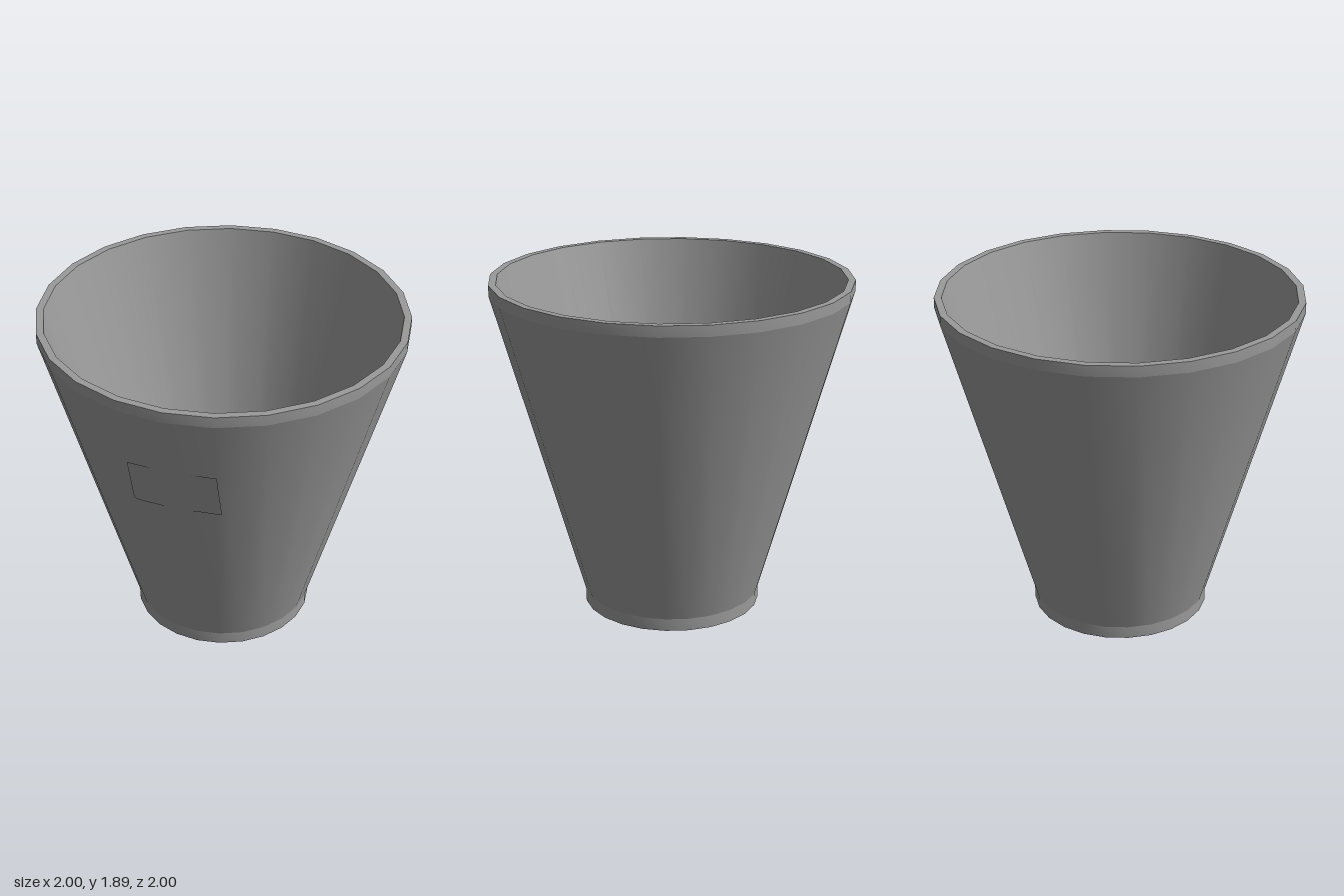
import * as THREE from 'three';
import { toCreasedNormals } from 'three/addons/utils/BufferGeometryUtils.js';

const SIDES = 24, HEIGHT = 1.89, BAND_LOW = 0.07, BAND_HIGH = 1.83;
const R_LOW = 0.5, R_HIGH = 1, WALL = 0.04;

// Outer radius of the tapered wall at height y
const radiusAt = y => THREE.MathUtils.mapLinear(y, BAND_LOW, BAND_HIGH, R_LOW, R_HIGH);

// Depth of the faceted wall's front at (x, y)
function frontDepth(x, y) {
  const r = radiusAt(y), step = Math.PI * 2 / SIDES, ax = Math.abs(x);
  const first = r - ax * Math.tan(step / 2);
  const second = r * Math.cos(step) - (ax - r * Math.sin(step)) * Math.tan(step * 1.5);
  return Math.min(first, second);
}

export function createModel() {
  const model = new THREE.Group();
  const material = new THREE.MeshStandardMaterial({ color: 0x9a9a9a });
  const sheetMaterial = material.clone();
  sheetMaterial.side = THREE.DoubleSide;
  const add = (name, geometry, mat = material) => {
    const mesh = new THREE.Mesh(geometry, mat);
    mesh.name = name;
    model.add(mesh);
    return mesh;
  };

  // Open tapered shell: straight bands outside at both rims, plain taper inside
  const profile = [
    [R_LOW, 0], [R_LOW, BAND_LOW], [R_HIGH, BAND_HIGH], [R_HIGH, HEIGHT],
    [R_HIGH - WALL, HEIGHT], [R_LOW - WALL, 0], [R_LOW, 0],
  ].map(p => new THREE.Vector2(...p));
  add('shell', toCreasedNormals(new THREE.LatheGeometry(profile, SIDES), 0.27));

  // Four crossing bars in the bottom opening, ends set into the wall
  for (let i = 0; i < 4; i++) {
    const angle = i * Math.PI / 2;
    const bar = add('bottomBar', new THREE.CylinderGeometry(0.022, 0.022, 0.62, 12));
    bar.position.set(Math.sin(angle) * 0.36, 0.03, Math.cos(angle) * 0.36);
    bar.rotation.set(0, angle, Math.PI / 2);
  }

  // Thin front panel following the wall, its side edges standing slightly proud
  const panel = new THREE.PlaneGeometry(0.48, 0.29, 16, 4);
  panel.translate(0, 1.315, 0);
  const pos = panel.attributes.position;
  for (let i = 0; i < pos.count; i++) {
    const x = pos.getX(i);
    pos.setZ(i, frontDepth(x, pos.getY(i)) + 0.003 + 0.01 * (x / 0.24) ** 2);
  }
  panel.computeVertexNormals();
  add('frontPanel', panel, sheetMaterial);

  return model;
}
